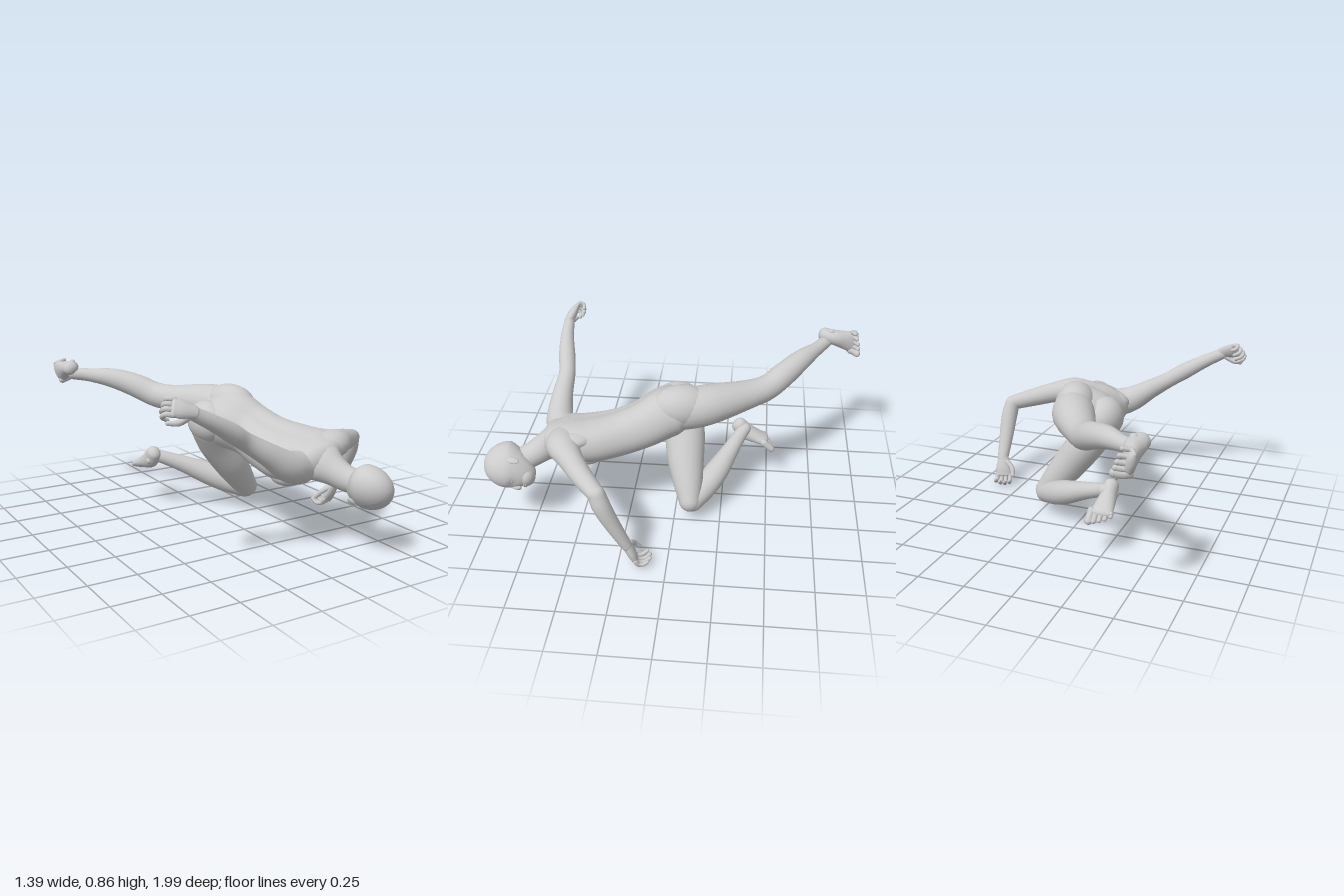
import * as THREE from 'three';

const skin = new THREE.MeshStandardMaterial({ color: 0xcccccc });
const V = (a) => new THREE.Vector3(...a);

function add(parent, name, geometry) {
  const mesh = new THREE.Mesh(geometry, skin);
  mesh.name = name;
  parent.add(mesh);
  return mesh;
}

// Round-ended skin over stations [x, y, z, halfWidth, halfDepth]; widths lie along
// the side vector, which may turn from side to sideEnd. shape(angle, t) scales a ring.
function loft(parent, name, pts, side, { sideEnd = side, shape = () => 1, seg = 20, steps = 6, cap = 1 } = {}) {
  const path = new THREE.CatmullRomCurve3(pts.map((p) => V(p.slice(0, 3))));
  const radii = new THREE.CatmullRomCurve3(pts.map((p) => V([p[3], p[4], 0])), false, 'catmullrom', 0.5);
  const rings = [], n = (pts.length - 1) * steps, capN = 5;
  for (let i = capN; i > 0; i--) rings.push([0, -i / capN]);
  for (let i = 0; i <= n; i++) rings.push([i / n, 0]);
  for (let i = 1; i <= capN; i++) rings.push([1, i / capN]);
  const pos = [], index = [];
  rings.forEach(([t, c], r) => {
    const T = path.getTangent(t), R = radii.getPoint(t);
    const U = V(side).lerp(V(sideEnd), t);
    U.addScaledVector(T, -U.dot(T)).normalize();
    const W = T.clone().cross(U);
    const ang = c * Math.PI / 2, k = Math.max(Math.cos(ang), 0.001);
    const P = path.getPoint(t).addScaledVector(T, Math.sin(ang) * Math.min(R.x, R.y) * cap);
    for (let j = 0; j < seg; j++) {
      const a = j / seg * Math.PI * 2, m = k * shape(a, t);
      const q = P.clone().addScaledVector(U, Math.cos(a) * R.x * m).addScaledVector(W, Math.sin(a) * R.y * m);
      pos.push(q.x, q.y, q.z);
      if (r === 0) continue;
      const j2 = (j + 1) % seg, a0 = (r - 1) * seg, b0 = r * seg;
      index.push(a0 + j, a0 + j2, b0 + j2, a0 + j, b0 + j2, b0 + j);
    }
  });
  const g = new THREE.BufferGeometry();
  g.setAttribute('position', new THREE.Float32BufferAttribute(pos, 3));
  g.setIndex(index);
  g.computeVertexNormals();
  return add(parent, name, g);
}

// Group whose local y is up and local z is forward
function frame(parent, name, origin, up, forward, size = 1) {
  const y = V(up).normalize(), z = V(forward);
  z.addScaledVector(y, -z.dot(y)).normalize();
  const group = new THREE.Group();
  group.name = name;
  group.applyMatrix4(new THREE.Matrix4().makeBasis(y.clone().cross(z), y, z).setPosition(...origin));
  group.scale.setScalar(size);
  parent.add(group);
  return group;
}

function ball(parent, name, p, r, rot = [0, 0, 0]) {
  const mesh = add(parent, name, new THREE.SphereGeometry(1, 24, 16));
  mesh.position.set(...p);
  mesh.scale.set(...r);
  mesh.rotation.set(...rot);
  return mesh;
}

// Hand: fingers run along local -y, palm faces +z, thumb at s * x
function hand(parent, name, origin, fingers, palm, s, curl) {
  const h = frame(parent, name, origin, fingers.map((v) => -v), palm, 1.25);
  loft(h, 'palm', [[0, 0.02, 0, 0.025, 0.02], [0, -0.03, 0, 0.036, 0.021], [0, -0.065, 0, 0.038, 0.016]], [1, 0, 0], { seg: 14, cap: 0.6 });
  for (let i = 0; i < 4; i++) {
    const x = s * (0.03 - i * 0.02), len = [0.026, 0.029, 0.027, 0.021][i], pts = [];
    let y = -0.064, z = 0, bend = 0.25;
    for (let k = 0; k < 4; k++) {
      pts.push([x * (1 + k * 0.04), y, z, 0.0108 - k * 0.001, 0.0108 - k * 0.001]);
      y -= Math.cos(bend) * len;
      z += Math.sin(bend) * len;
      bend += curl;
    }
    loft(h, 'finger', pts, [1, 0, 0], { seg: 8, steps: 3 });
  }
  loft(h, 'thumb', [[s * 0.02, -0.005, 0.008, 0.016, 0.014], [s * 0.044, -0.032, 0.02, 0.012, 0.012],
    [s * 0.05, -0.068, 0.032, 0.009, 0.009]], [0, 0, 1], { seg: 8, steps: 3 });
}

// Foot: sole at local y = 0, toes toward +z and lifted at the tip, big toe at s * x
function foot(parent, name, origin, up, forward, s, lift) {
  const f = frame(parent, name, origin, up, forward, 1.18);
  loft(f, 'instep', [[0, 0.04, -0.005, 0.033, 0.037], [0, 0.048, 0.04, 0.036, 0.043],
    [0, 0.036, 0.1, 0.045, 0.031], [0, 0.022, 0.145, 0.053, 0.021]], [1, 0, 0], { cap: 0.8 });
  for (let i = 0; i < 5; i++) {
    const x = s * (0.043 - i * 0.022), r = i ? 0.0125 - i * 0.0006 : 0.018;
    const end = 0.192 - lift * 0.4 - i * i * 0.0022;
    loft(f, 'toe', [[x, 0.02, 0.14, r, r], [x, 0.019 + lift * 0.35, end - 0.014, r, r], [x, 0.013 + lift, end, r, r * 0.9]],
      [1, 0, 0], { seg: 8, steps: 3 });
  }
  // ankle bones
  for (const e of [-1, 1]) ball(f, 'ankleBone', [e * 0.026, 0.065, 0.022], [0.011, 0.016, 0.016]);
}

function head(parent) {
  const h = frame(parent, 'head', [0.312, 0.357, 0.862], [0.1, 0.03, 1], [0.68, -0.7, -0.05]);
  // skull tapering to the jaw
  const g = new THREE.SphereGeometry(1, 36, 28), p = g.attributes.position;
  for (let i = 0; i < p.count; i++) {
    let x = p.getX(i), y = p.getY(i), z = p.getZ(i);
    const low = Math.max(0, -y);
    x *= 1 - 0.25 * low;
    z = z < 0 ? z * (1 - 0.55 * low) : z * (1 - 0.05 * low);
    z += 0.3 * low * low;
    // eye hollows
    z -= 0.08 * Math.exp(-((Math.abs(x) - 0.38) ** 2) * 22 - (y + 0.16) ** 2 * 60) * (z > 0 ? 1 : 0);
    p.setXYZ(i, x * 0.104, y * 0.138, z * 0.125);
  }
  g.computeVertexNormals();
  add(h, 'skull', g);
  loft(h, 'nose', [[0, -0.012, 0.111, 0.009, 0.012], [0, -0.04, 0.121, 0.011, 0.013], [0, -0.054, 0.123, 0.016, 0.012]], [1, 0, 0], { seg: 12 });
  ball(h, 'jaw', [0, -0.088, 0.062], [0.06, 0.048, 0.052]);
  for (const y of [-0.08, -0.089]) ball(h, 'lip', [0, y, 0.11], [0.023, 0.006, 0.01]);
  for (const e of [-1, 1]) {
    ball(h, 'eye', [e * 0.037, -0.022, 0.094], [0.018, 0.01, 0.012]);
    ball(h, 'ear', [e * 0.1, -0.03, -0.005], [0.009, 0.032, 0.019], [-0.2, e * 0.35, 0]);
  }
}

export function createModel() {
  const model = new THREE.Group();
  model.name = 'figure';

  // torso with a groove along the spine
  const spine = (a, t) => {
    const d = a - Math.PI / 2;
    return (1 + 0.05 * Math.sin(2 * a) ** 2) * (1 - 0.08 * Math.exp(-d * d * 30) * Math.sin(Math.PI * t));
  };
  loft(model, 'torso', [[0.0, 0.575, -0.06, 0.14, 0.1], [0.03, 0.57, 0.04, 0.168, 0.135], [0.095, 0.52, 0.17, 0.145, 0.125],
    [0.125, 0.478, 0.3, 0.163, 0.12], [0.158, 0.456, 0.45, 0.194, 0.118], [0.17, 0.463, 0.55, 0.198, 0.102],
    [0.175, 0.462, 0.64, 0.15, 0.078]], [0.18, 0.075, 0], { sideEnd: [0.3, 0.07, -0.06], shape: spine, seg: 40, cap: 0.8 });
  for (const [name, p] of [['leftPectoral', [0.22, 0.395, 0.48]], ['rightPectoral', [0.1, 0.368, 0.5]]])
    ball(model, name, p, [0.09, 0.06, 0.11], [0, 0, 0.22]);
  for (const [name, p] of [['leftShoulderBlade', [0.275, 0.515, 0.53]], ['rightShoulderBlade', [0.07, 0.475, 0.56]]])
    ball(model, name, p, [0.1, 0.052, 0.12], [0.1, 0, 0.22]);
  ball(model, 'leftButtock', [0.075, 0.628, -0.025], [0.108, 0.114, 0.165], [-0.05, 0.28, 0.2]);
  ball(model, 'rightButtock', [-0.075, 0.555, 0.005], [0.107, 0.118, 0.135], [0, 0, 0.3]);

  // neck widening into the shoulders, and head
  loft(model, 'neck', [[0.165, 0.475, 0.56, 0.16, 0.085], [0.19, 0.455, 0.63, 0.13, 0.08], [0.225, 0.415, 0.7, 0.082, 0.072],
    [0.255, 0.385, 0.76, 0.066, 0.066], [0.29, 0.365, 0.83, 0.06, 0.062]], [0.3, 0.07, -0.1], { sideEnd: [0.7, 0.7, 0] });
  head(model);

  // right arm, raised out to the side
  loft(model, 'rightArm', [[0.08, 0.43, 0.62, 0.085, 0.085], [-0.01, 0.455, 0.655, 0.075, 0.077], [-0.13, 0.53, 0.662, 0.058, 0.058],
    [-0.255, 0.61, 0.655, 0.046, 0.046], [-0.34, 0.665, 0.67, 0.047, 0.047], [-0.45, 0.73, 0.687, 0.038, 0.038],
    [-0.56, 0.79, 0.69, 0.028, 0.031]], [0, 0, 1]);
  hand(model, 'rightHand', [-0.565, 0.795, 0.69], [-0.9, 0.3, -0.2], [-0.2, -0.45, -0.85], -1, 1.25);

  // left arm, bent down at the elbow
  loft(model, 'leftUpperArm', [[0.22, 0.475, 0.57, 0.085, 0.1], [0.32, 0.502, 0.565, 0.075, 0.09], [0.42, 0.495, 0.51, 0.062, 0.066],
    [0.52, 0.475, 0.44, 0.054, 0.056], [0.635, 0.452, 0.345, 0.043, 0.045]], [0, 1, 0]);
  loft(model, 'leftForearm', [[0.638, 0.45, 0.34, 0.043, 0.045], [0.648, 0.38, 0.315, 0.047, 0.047], [0.648, 0.27, 0.265, 0.042, 0.039],
    [0.645, 0.14, 0.2, 0.032, 0.028]], [1, 0, 0]);
  hand(model, 'leftHand', [0.638, 0.125, 0.193], [-0.14, -0.9, -0.32], [-0.25, 0.4, -0.85], 1, 0.8);

  // left leg, stretched out behind
  loft(model, 'leftLeg', [[0.08, 0.6, 0.02, 0.115, 0.1], [0.055, 0.612, -0.1, 0.11, 0.112], [0.01, 0.618, -0.2, 0.102, 0.11],
    [-0.09, 0.62, -0.37, 0.076, 0.085], [-0.152, 0.631, -0.47, 0.07, 0.07], [-0.23, 0.675, -0.56, 0.067, 0.067],
    [-0.335, 0.715, -0.655, 0.056, 0.057], [-0.44, 0.73, -0.74, 0.039, 0.039], [-0.52, 0.738, -0.795, 0.035, 0.036]], [0, 1, 0]);
  ball(model, 'leftKneecap', [-0.142, 0.594, -0.455], [0.045, 0.036, 0.05], [0, 0.6, 0]);
  foot(model, 'leftFoot', [-0.588, 0.758, -0.79], [0.95, 0.28, 0], [0.04, -0.23, -1], -1, 0.055);

  // right leg, folded under the body
  loft(model, 'rightThigh', [[-0.07, 0.53, 0.0, 0.11, 0.1], [0.0, 0.425, -0.035, 0.11, 0.102], [0.09, 0.3, -0.05, 0.1, 0.094],
    [0.17, 0.195, -0.07, 0.08, 0.08], [0.228, 0.12, -0.085, 0.06, 0.064]], [0, 0, 1]);
  loft(model, 'rightShin', [[0.222, 0.113, -0.095, 0.058, 0.06], [0.14, 0.148, -0.155, 0.066, 0.068], [0.05, 0.19, -0.215, 0.064, 0.066],
    [-0.08, 0.25, -0.285, 0.047, 0.048], [-0.19, 0.295, -0.34, 0.036, 0.038], [-0.225, 0.31, -0.362, 0.034, 0.036]], [0, 1, 0]);
  foot(model, 'rightFoot', [-0.243, 0.36, -0.36], [0, -0.79, 0.61], [0.0, -0.61, -0.8], 1, 0.01);

  return model;
}
